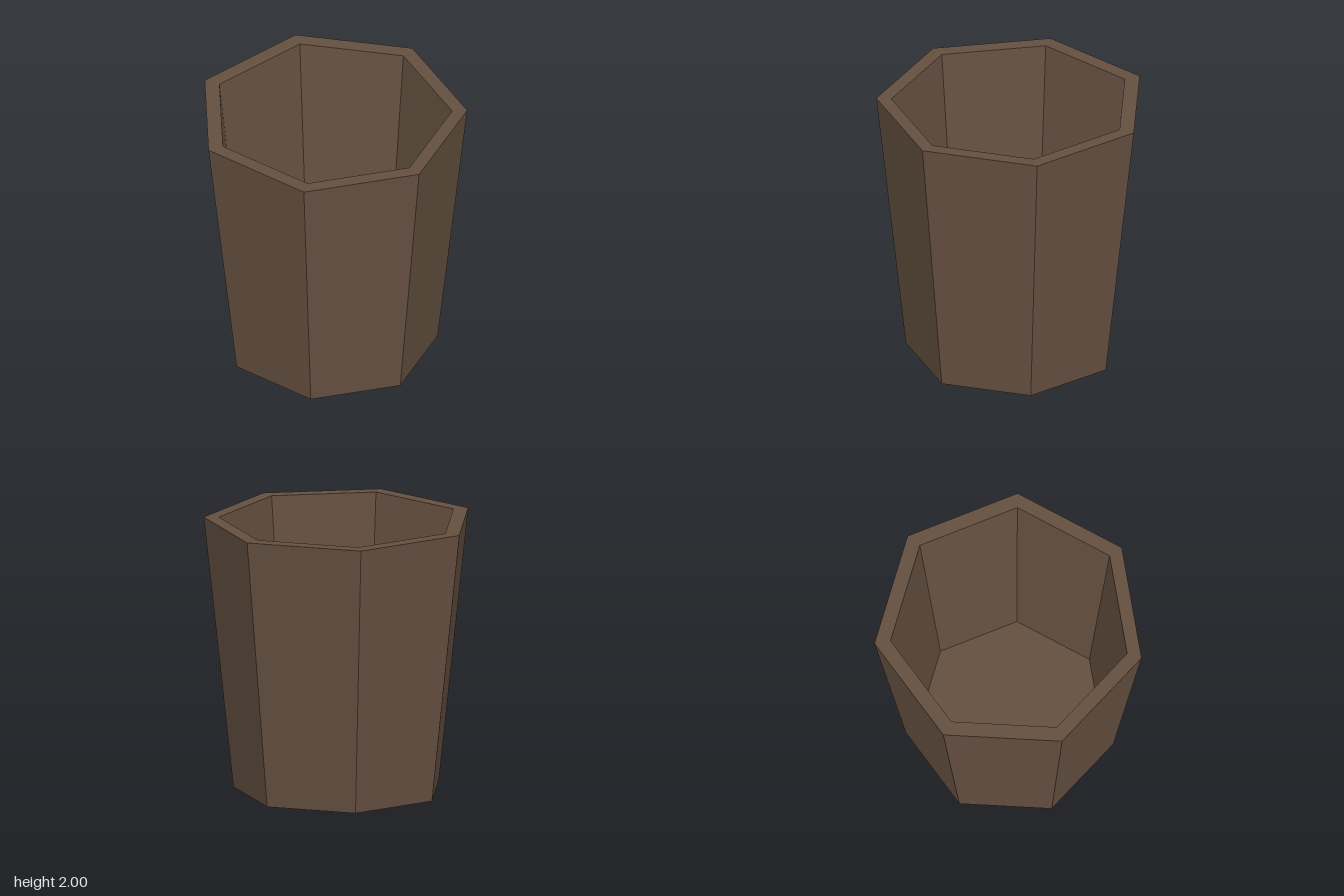
import * as THREE from 'three';

const SIDES = 7;
// a heptagon with a corner on +x is shifted by this share of its radius to centre it
const SHIFT = (1 - Math.cos(Math.PI / SIDES)) / 2;

export function createModel() {
  const group = new THREE.Group();
  group.name = 'cup';
  const brown = new THREE.MeshStandardMaterial({ color: 0x655040 });
  brown.name = 'dark brown';

  // one band of seven flat faces between two rings given as [radius, height]
  function band(name, from, to) {
    const points = [from, to].map(([r, y]) => new THREE.Vector2(r, y));
    const geo = new THREE.LatheGeometry(points, SIDES, Math.PI / 2).toNonIndexed();
    const pos = geo.attributes.position;
    for (let i = 0; i < pos.count; i++) {
      const x = pos.getX(i);
      pos.setX(i, x - SHIFT * Math.hypot(x, pos.getZ(i)));
    }
    geo.computeVertexNormals();
    const mesh = new THREE.Mesh(geo, brown);
    mesh.name = name;
    group.add(mesh);
  }

  // rings from the underside, up the outside and down into the hollow
  const bottom = [0.769, 0], top = [0.99, 2];
  const innerTop = [0.877, 2], innerBottom = [0.688, 0.1];
  band('base', [0, 0], bottom);
  band('outerWall', bottom, top);
  band('rim', top, innerTop);
  band('innerWall', innerTop, innerBottom);
  band('floor', innerBottom, [0, 0.1]);

  return group;
}
